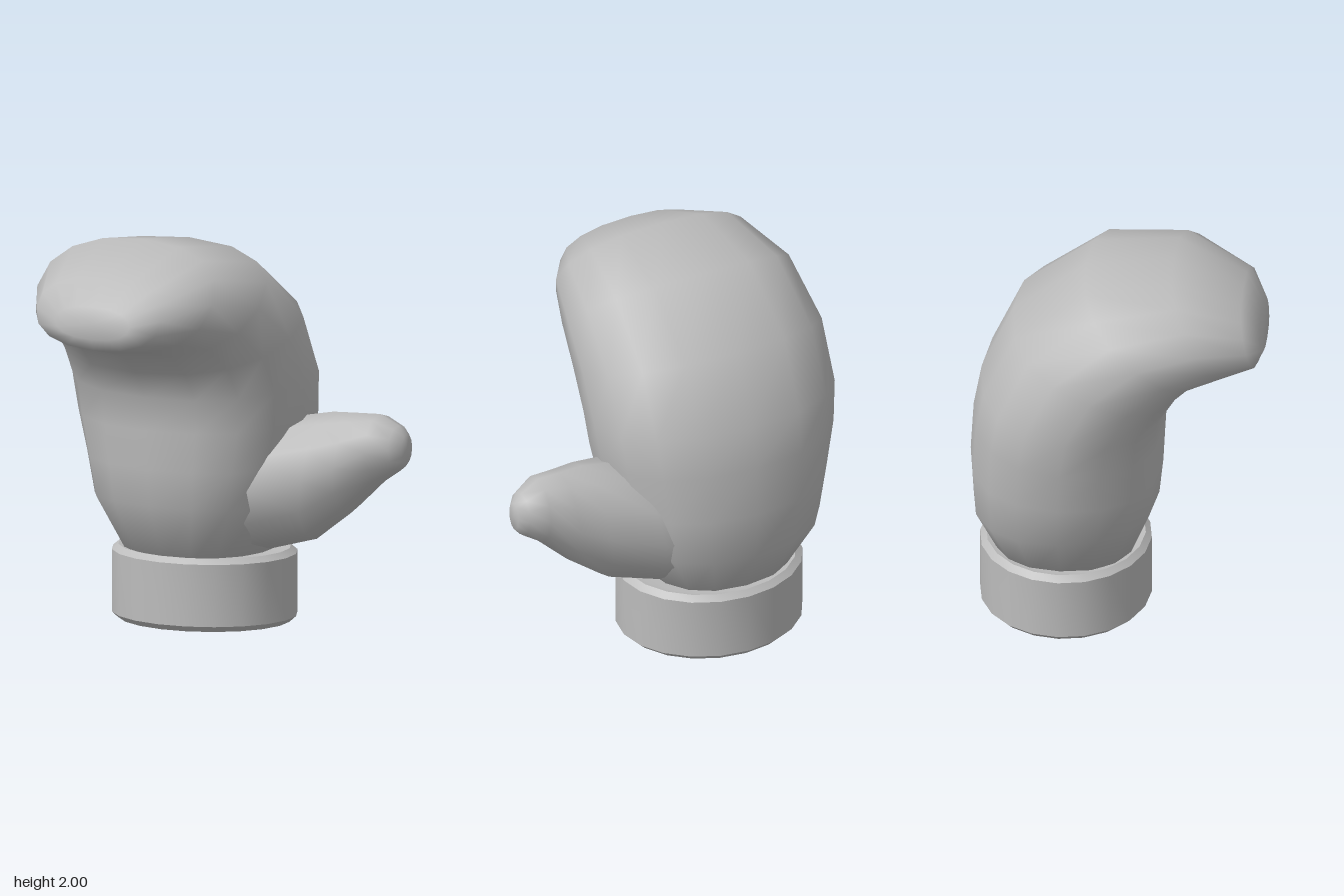
import * as THREE from 'three';
import { toCreasedNormals } from 'three/addons/utils/BufferGeometryUtils.js';

// Soft-cornered closed loft. Each section: opposite points p and q, plus a half width along "side".
function loft(sections, side, sides, power) {
  const pos = [], index = [];
  const soft = (t) => Math.sign(t) * Math.pow(Math.abs(t), power);
  const mids = sections.map(({ p, q }) => p.clone().add(q).multiplyScalar(0.5));
  sections.forEach(({ p, q, w }, i) => {
    const depth = p.clone().sub(q).multiplyScalar(0.5);
    for (let a = 0; a < sides; a++) {
      const t = (a / sides) * Math.PI * 2;
      const v = mids[i].clone().addScaledVector(side, w * soft(Math.cos(t))).addScaledVector(depth, soft(Math.sin(t)));
      pos.push(v.x, v.y, v.z);
    }
  });
  const last = (sections.length - 1) * sides;
  const start = sections.length * sides, end = start + 1;
  pos.push(...mids[0].toArray(), ...mids[mids.length - 1].toArray());
  for (let a = 0; a < sides; a++) {
    const b = (a + 1) % sides;
    for (let r = 0; r < last; r += sides) {
      index.push(r + a, r + sides + a, r + b, r + b, r + sides + a, r + sides + b);
    }
    index.push(start, a, b, last + a, end, last + b);
  }
  const geometry = new THREE.BufferGeometry();
  geometry.setAttribute('position', new THREE.Float32BufferAttribute(pos, 3));
  geometry.setIndex(index);
  geometry.computeVertexNormals();
  return geometry;
}

export function createModel() {
  const group = new THREE.Group();
  const grey = new THREE.MeshStandardMaterial({ color: 0xbcbcbc });
  grey.name = 'grey wool';
  const add = (name, geometry) => {
    const mesh = new THREE.Mesh(geometry, grey);
    mesh.name = name;
    group.add(mesh);
  };

  // Hand: palm side (y, z), back side (y, z), half width; curls forward at the fingers
  const hand = [
    [0.33, 0.08, 0.33, -0.61, 0.35],
    [0.63, 0.20, 0.59, -0.73, 0.53],
    [0.82, 0.22, 0.84, -0.745, 0.57],
    [1.02, 0.23, 1.10, -0.73, 0.62],
    [1.19, 0.24, 1.32, -0.69, 0.645],
    [1.33, 0.33, 1.67, -0.53, 0.645],
    [1.43, 0.44, 1.94, -0.17, 0.61],
    [1.47, 0.58, 2.00, 0.27, 0.52],
    [1.50, 0.71, 1.85, 0.62, 0.37],
    [1.56, 0.74, 1.72, 0.71, 0.22],
  ].map(([py, pz, qy, qz, w]) => ({
    p: new THREE.Vector3(-0.265, py, pz), q: new THREE.Vector3(-0.265, qy, qz), w,
  }));
  add('mittenHand', loft(hand, new THREE.Vector3(1, 0, 0), 16, 0.87));

  // Thumb: top (x, y), bottom (x, y), centre z, half width
  const thumb = [
    [-0.05, 0.88, -0.10, 0.40, -0.28, 0.32],
    [0.24, 1.06, 0.13, 0.38, -0.30, 0.32],
    [0.50, 1.11, 0.40, 0.455, -0.31, 0.235],
    [0.63, 1.115, 0.59, 0.60, -0.325, 0.195],
    [0.76, 1.12, 0.77, 0.77, -0.335, 0.155],
    [0.86, 1.07, 0.87, 0.84, -0.35, 0.105],
    [0.905, 1.03, 0.905, 0.88, -0.355, 0.05],
  ].map(([px, py, qx, qy, z, w]) => ({
    p: new THREE.Vector3(px, py, z), q: new THREE.Vector3(qx, qy, z), w,
  }));
  add('thumb', loft(thumb, new THREE.Vector3(0, 0, 1), 12, 1));

  // Cuff: oval band with bevelled rims
  const profile = [[0, 0], [0.93, 0], [1, 0.03], [1, 0.345], [0.93, 0.372], [0.86, 0.365], [0, 0.355]]
    .map(([r, y]) => new THREE.Vector2(r, y));
  const cuff = new THREE.LatheGeometry(profile, 20);
  cuff.scale(0.48, 1, 0.43);
  cuff.translate(-0.24, 0, -0.27);
  add('cuff', toCreasedNormals(cuff, 0.6));

  return group;
}
